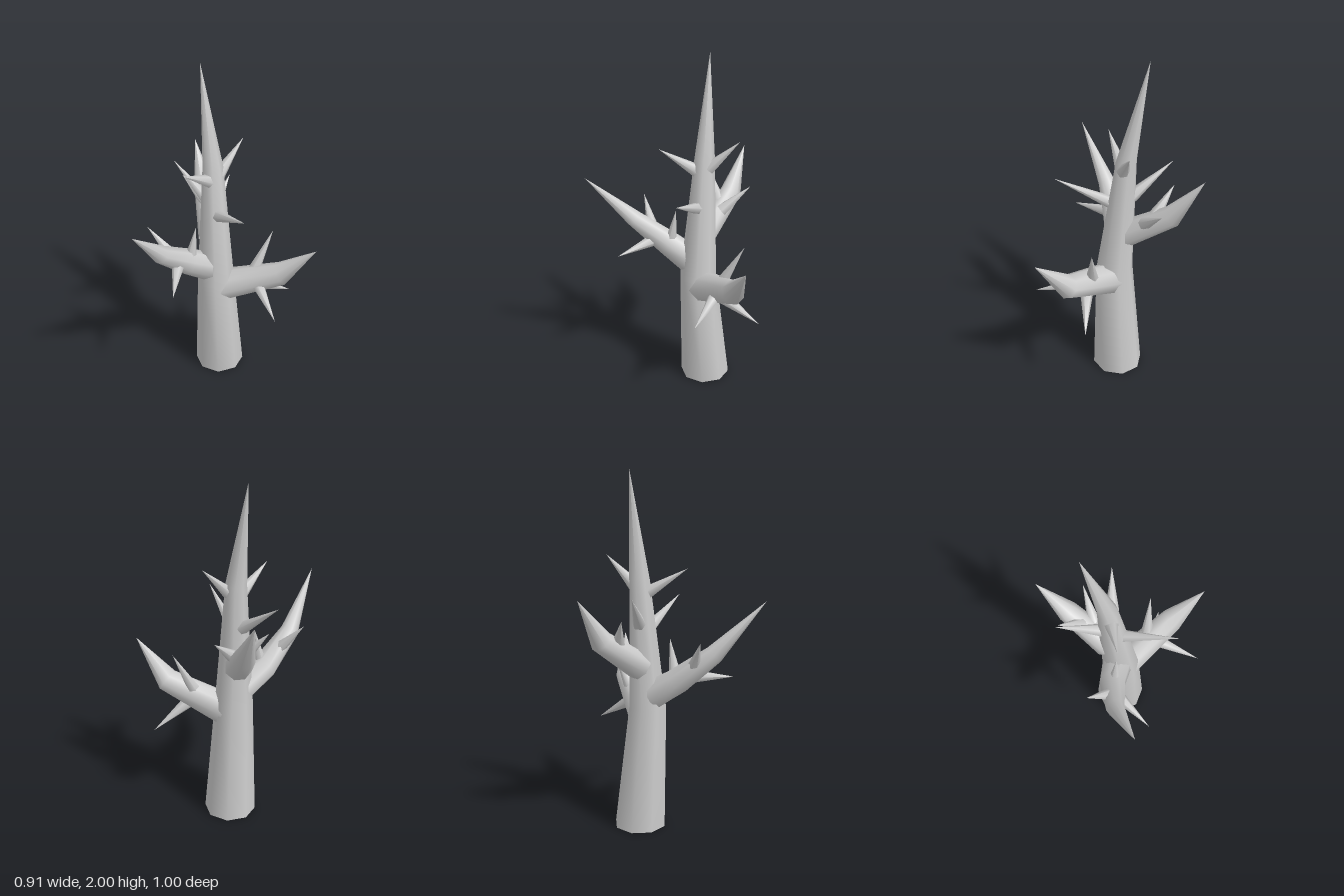
import * as THREE from 'three';

const material = new THREE.MeshStandardMaterial({ color: 0xcccccc, side: THREE.DoubleSide });

// Smooth tapered limb through nodes [x, y, z, radius]; level keeps the rings horizontal
function limb(name, nodes, sides, level = false) {
  const pts = nodes.map(n => new THREE.Vector3(n[0], n[1], n[2]));
  const last = pts.length - 1;
  const pos = [], index = [];
  pts.forEach((p, i) => {
    const t = level ? new THREE.Vector3(0, 1, 0)
      : pts[Math.min(i + 1, last)].clone().sub(pts[Math.max(i - 1, 0)]).normalize();
    const u = new THREE.Vector3(0.31, 0, 1).cross(t);
    if (u.length() < 0.3) u.set(0, 1, 0).cross(t);
    u.normalize();
    const v = t.clone().cross(u);
    for (let j = 0; j < sides; j++) {
      const a = j / sides * Math.PI * 2;
      const q = p.clone().addScaledVector(u, Math.cos(a) * nodes[i][3])
        .addScaledVector(v, Math.sin(a) * nodes[i][3]);
      pos.push(q.x, q.y, q.z);
      if (i < last) {
        const k = i * sides + j, n = i * sides + (j + 1) % sides;
        index.push(k, n, k + sides, n, n + sides, k + sides);
      }
    }
  });
  const geo = new THREE.BufferGeometry();
  geo.setAttribute('position', new THREE.Float32BufferAttribute(pos, 3));
  geo.setIndex(index);
  geo.computeVertexNormals();
  const mesh = new THREE.Mesh(geo, material);
  mesh.name = name;
  return mesh;
}

// A limb together with its thorns, each given as [base, tip]
function part(name, nodes, thorns, level) {
  const group = new THREE.Group();
  group.name = name;
  group.add(limb(name + 'Wood', nodes, 8, level));
  for (const [base, tip] of thorns) group.add(limb('thorn', [[...base, 0.038], [...tip, 0]], 6));
  return group;
}

export function createModel() {
  const model = new THREE.Group();
  model.name = 'thornyDeadTree';

  // Trunk, open at the bottom, ending in a leaning spike
  model.add(part('trunk', [
    [-0.135, 0, -0.147, 0.147], [-0.135, 0.7, -0.1, 0.107],
    [-0.162, 1.42, -0.147, 0.058], [-0.25, 2, -0.21, 0],
  ], [
    [[-0.13, 1.13, -0.1], [0.12, 1.28, 0.13]],
    [[-0.13, 1.37, -0.16], [-0.04, 1.54, -0.31]],
    [[-0.17, 1.35, -0.1], [-0.24, 1.48, 0.1]],
    [[-0.2, 1.18, -0.155], [-0.435, 1.36, -0.23]],
  ], true));

  // Low branch on the model's left
  model.add(part('leftBranch', [
    [-0.09, 0.635, -0.113, 0.095], [0.255, 0.77, -0.157, 0.07], [0.457, 0.99, -0.14, 0],
  ], [
    [[0.08, 0.74, -0.16], [0.165, 0.99, -0.26]],
    [[0.13, 0.69, -0.1], [0.295, 0.61, 0.09]],
    [[0.12, 0.66, -0.16], [0.26, 0.525, -0.325]],
  ]));

  // Middle branch towards the front
  model.add(part('frontBranch', [
    [-0.17, 0.78, -0.07, 0.085], [-0.26, 0.87, 0.04, 0.075],
    [-0.34, 1.03, 0.225, 0.052], [-0.367, 1.315, 0.5, 0],
  ], [
    [[-0.31, 0.955, 0.12], [-0.458, 1.12, 0.122]],
    [[-0.28, 0.9, 0.12], [-0.21, 0.865, 0.37]],
    [[-0.24, 0.88, 0.035], [-0.21, 1.1, 0.01]],
  ]));

  // High branch towards the back
  model.add(part('backBranch', [
    [-0.18, 0.94, -0.15, 0.078], [-0.305, 1.12, -0.375, 0.062], [-0.41, 1.36, -0.503, 0],
  ], [
    [[-0.27, 1.09, -0.28], [-0.405, 1.24, -0.28]],
    [[-0.2, 1.06, -0.27], [-0.167, 1.2, -0.44]],
  ]));

  return model;
}
